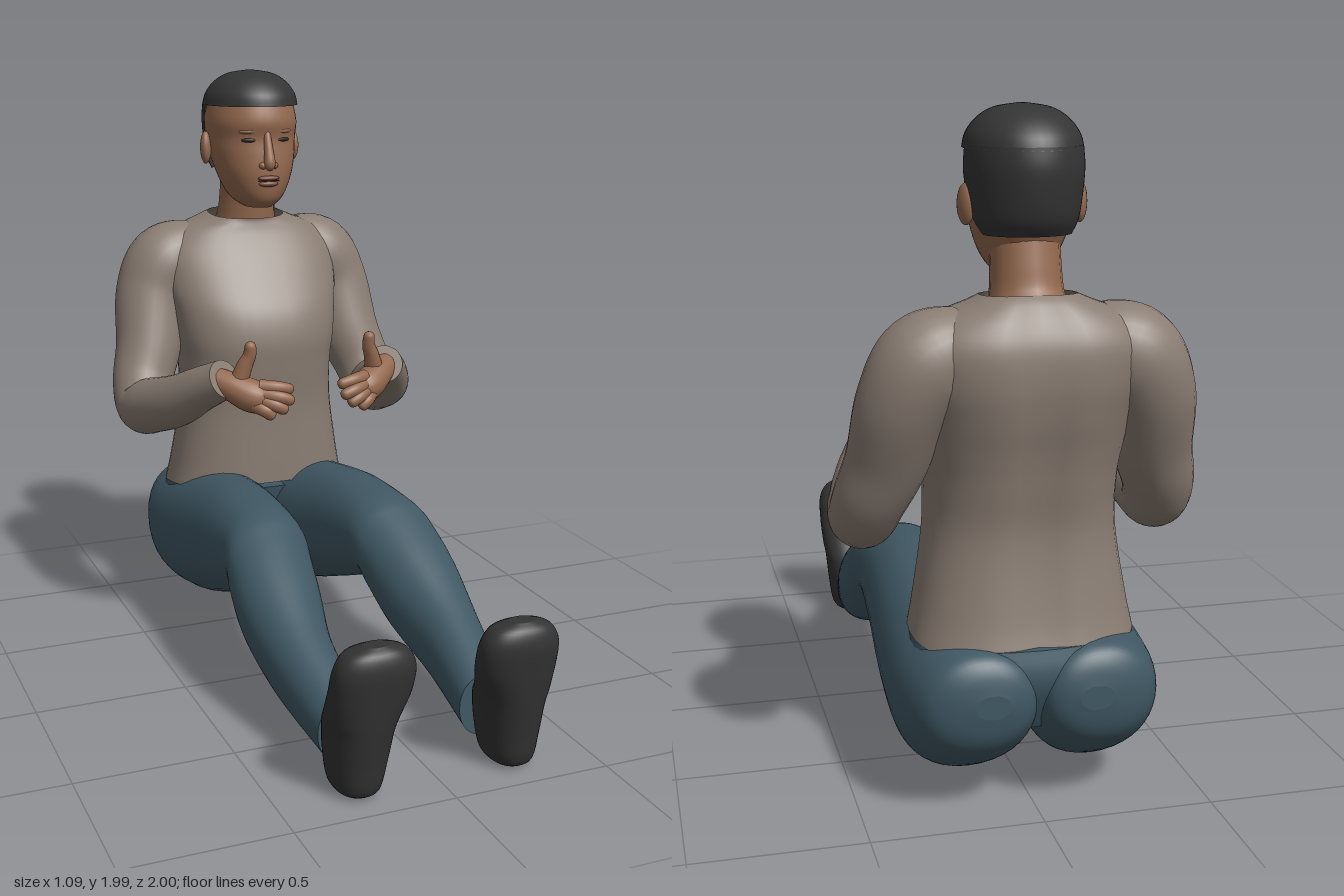
import * as THREE from 'three';

const mat = (name, color, side = THREE.FrontSide) => {
  const m = new THREE.MeshStandardMaterial({ color, side });
  m.name = name;
  return m;
};

// Catmull-Rom blend of table rows at t in 0..1
function sample(rows, t) {
  const f = t * (rows.length - 1), i = Math.min(Math.floor(f), rows.length - 2), u = f - i;
  const at = k => rows[Math.max(0, Math.min(rows.length - 1, k))];
  return rows[0].map((_, c) => {
    const [a, b, d, e] = [at(i - 1)[c], at(i)[c], at(i + 1)[c], at(i + 2)[c]];
    return b + 0.5 * u * (d - a + u * (2 * a - 5 * b + 4 * d - e + u * (3 * (b - d) + e - a)));
  });
}

// Skin a list of rings; flip reverses the faces, caps close the ends
function skin(name, rings, material, { flip = false, closed = true, caps = true } = {}) {
  const n = rings[0].length, pos = [], idx = [];
  const tri = (a, b, c) => (flip ? idx.push(a, c, b) : idx.push(a, b, c));
  rings.forEach(r => r.forEach(p => pos.push(p.x, p.y, p.z)));
  for (let i = 0; i < rings.length - 1; i++) {
    for (let j = 0; j < (closed ? n : n - 1); j++) {
      const k = (j + 1) % n, a = i * n + j, b = i * n + k;
      tri(a, b, b + n);
      tri(a, b + n, a + n);
    }
  }
  if (caps && closed) {
    [rings[0], rings[rings.length - 1]].forEach((r, end) => {
      const s = pos.length / 3, mid = new THREE.Vector3();
      r.forEach(p => { pos.push(p.x, p.y, p.z); mid.addScaledVector(p, 1 / n); });
      pos.push(mid.x, mid.y, mid.z);
      for (let j = 0; j < n; j++) {
        const k = (j + 1) % n;
        if (end) tri(s + j, s + k, s + n); else tri(s + k, s + j, s + n);
      }
    });
  }
  const g = new THREE.BufferGeometry();
  g.setAttribute('position', new THREE.Float32BufferAttribute(pos, 3));
  g.setIndex(idx);
  g.computeVertexNormals();
  const mesh = new THREE.Mesh(g, material);
  mesh.name = name;
  return mesh;
}

// Loft of rounded sections. Row: [height on axis, x min, x max, other min, other max]
function loft(name, axis, rows, material, { power = 2, arc = null, bend = null, caps = true } = {}) {
  const rings = [], steps = (rows.length - 1) * 5, n = 40;
  const pw = v => Math.sign(v) * Math.abs(v) ** (2 / power);
  for (let i = 0; i <= steps; i++) {
    const [h, x0, x1, w0, w1] = sample(rows, i / steps), ring = [];
    for (let j = 0; j < n; j++) {
      const th = arc ? arc[0] + (arc[1] - arc[0]) * j / (n - 1) : j / n * Math.PI * 2;
      const x = (x0 + x1) / 2 + (x1 - x0) / 2 * pw(Math.cos(th));
      const w = (w0 + w1) / 2 + (w1 - w0) / 2 * pw(Math.sin(th));
      const p = axis === 'y' ? new THREE.Vector3(x, h, w) : new THREE.Vector3(x, w, h);
      if (bend) bend(p);
      ring.push(p);
    }
    rings.push(ring);
  }
  return skin(name, rings, material, { flip: axis === 'y', closed: !arc, caps });
}

// Tapered round limb. Point: [x, y, z, radius]; round is the share of length rounded off at the tip
function limb(name, points, material, round = 0, n = 20) {
  const steps = (points.length - 1) * 8, rings = [];
  const centre = t => new THREE.Vector3(...sample(points, t).slice(0, 3));
  let side = new THREE.Vector3(0.3, 0.2, 1);
  for (let i = 0; i <= steps; i++) {
    const t = i / steps, c = centre(t);
    const dir = centre(Math.min(1, t + 0.01)).sub(centre(Math.max(0, t - 0.01))).normalize();
    side = side.clone().addScaledVector(dir, -side.dot(dir)).normalize();
    const up = dir.clone().cross(side);
    const e = round ? Math.max(0, (t - 1 + round) / round) : 0;
    const r = sample(points, t)[3] * Math.sqrt(Math.max(0.01, 1 - e * e));
    rings.push(Array.from({ length: n }, (_, j) => {
      const th = j / n * Math.PI * 2;
      return c.clone().addScaledVector(side, r * Math.cos(th)).addScaledVector(up, r * Math.sin(th));
    }));
  }
  return skin(name, rings, material);
}

function blob(name, size, at, material, tilt = 0) {
  const m = new THREE.Mesh(new THREE.SphereGeometry(1, 20, 14), material);
  m.name = name;
  m.scale.set(...size);
  m.position.set(...at);
  m.rotation.y = tilt;
  return m;
}

export function createModel() {
  const skinTone = mat('skin', 0x94694f), hairMat = mat('hair', 0x343434, THREE.DoubleSide);
  const wool = mat('sweater', 0x8a7d73, THREE.DoubleSide), denim = mat('trousers', 0x405864);
  const shoeMat = mat('shoe', 0x333333), lipMat = mat('lips', 0x7d5041), dark = mat('eye', 0x2e231e);
  const model = new THREE.Group();
  model.name = 'seatedPerson';

  // Sweater body with a groove along the spine and a tilted hem
  model.add(loft('sweaterBody', 'y', [
    [0.50, -0.33, 0.33, -0.955, -0.47], [0.60, -0.31, 0.31, -0.925, -0.47],
    [0.80, -0.28, 0.28, -0.90, -0.47], [0.95, -0.28, 0.28, -0.92, -0.455],
    [1.05, -0.295, 0.295, -0.94, -0.45], [1.15, -0.31, 0.31, -0.965, -0.475],
    [1.25, -0.33, 0.33, -0.98, -0.535], [1.35, -0.33, 0.33, -0.975, -0.595],
    [1.42, -0.27, 0.27, -0.945, -0.63], [1.46, -0.18, 0.18, -0.915, -0.64],
    [1.48, -0.135, 0.135, -0.89, -0.64],
  ], wool, {
    power: 2.4, caps: false,
    bend: p => {
      if (p.z < -0.8) p.z += 0.025 * Math.exp(-((p.x / 0.06) ** 2));
      if (p.y < 0.6) p.y += (p.z + 0.7) * (0.6 - p.y);
      if (p.y > 1.44) p.y += (p.y - 1.44) * (-p.z - 0.8) * 2;
    },
  }));

  // Trouser seat
  model.add(loft('trouserSeat', 'y', [
    [0.25, -0.25, 0.25, -0.90, -0.50], [0.40, -0.33, 0.33, -0.965, -0.51],
    [0.50, -0.325, 0.325, -0.95, -0.49],
  ], denim, { power: 2.3 }));

  // Neck and head
  model.add(limb('neck', [[0, 1.40, -0.78, 0.125], [0, 1.47, -0.755, 0.106],
    [0, 1.55, -0.74, 0.1], [0, 1.64, -0.72, 0.1]], skinTone));
  const head = new THREE.Group();
  head.name = 'head';
  model.add(head);
  head.add(loft('face', 'y', [
    [1.515, -0.045, 0.045, -0.70, -0.56], [1.54, -0.08, 0.08, -0.76, -0.53],
    [1.58, -0.108, 0.108, -0.80, -0.515], [1.64, -0.132, 0.132, -0.83, -0.508],
    [1.70, -0.147, 0.147, -0.86, -0.512], [1.76, -0.154, 0.154, -0.88, -0.518],
    [1.82, -0.158, 0.158, -0.89, -0.508], [1.90, -0.14, 0.14, -0.86, -0.53],
  ], skinTone, { power: 2.15 }));
  head.add(limb('nose', [[0, 1.78, -0.525, 0.012], [0, 1.72, -0.507, 0.016],
    [0, 1.675, -0.498, 0.02], [0, 1.66, -0.505, 0.014]], skinTone));
  head.add(blob('upperLip', [0.04, 0.009, 0.016], [0, 1.624, -0.512], lipMat));
  head.add(blob('lowerLip', [0.036, 0.011, 0.016], [0, 1.604, -0.513], lipMat));
  head.add(blob('mouthLine', [0.04, 0.0025, 0.017], [0, 1.615, -0.51], dark));
  for (const s of [-1, 1]) {
    head.add(blob('nostrilWing', [0.015, 0.013, 0.016], [0.02 * s, 1.668, -0.513], skinTone));
    head.add(blob('eye', [0.026, 0.007, 0.006], [0.066 * s, 1.755, -0.534], dark, 0.42 * s));
    head.add(blob('brow', [0.034, 0.009, 0.012], [0.066 * s, 1.785, -0.537], skinTone, 0.42 * s));
    head.add(blob('ear', [0.02, 0.058, 0.034], [0.163 * s, 1.72, -0.715], skinTone, 0.35 * s));
  }

  // Short hair: crown, and back reaching to the nape
  head.add(loft('hairCrown', 'y', [
    [1.87, -0.166, 0.166, -0.90, -0.502], [1.91, -0.156, 0.156, -0.882, -0.514],
    [1.95, -0.126, 0.126, -0.84, -0.553], [1.978, -0.08, 0.08, -0.785, -0.605],
    [1.99, -0.012, 0.012, -0.71, -0.68],
  ], hairMat));
  head.add(loft('hairBack', 'y', [
    [1.64, -0.125, 0.125, -0.85, -0.66], [1.68, -0.147, 0.147, -0.878, -0.59],
    [1.74, -0.161, 0.161, -0.895, -0.53], [1.82, -0.168, 0.168, -0.905, -0.505],
    [1.88, -0.164, 0.164, -0.898, -0.505],
  ], hairMat, { arc: [Math.PI, Math.PI * 2] }));

  // Paired limbs, built on the +x side and mirrored
  for (const s of [1, -1]) {
    const half = new THREE.Group();
    half.name = s > 0 ? 'leftLimbs' : 'rightLimbs';
    half.scale.x = s;
    model.add(half);

    half.add(limb('sleeve', [
      [0.18, 1.345, -0.79, 0.11], [0.29, 1.305, -0.80, 0.14], [0.355, 1.19, -0.785, 0.132],
      [0.39, 1.02, -0.725, 0.118], [0.43, 0.90, -0.675, 0.107], [0.443, 0.827, -0.61, 0.1],
      [0.43, 0.845, -0.52, 0.097], [0.39, 0.89, -0.38, 0.09], [0.34, 0.955, -0.26, 0.076],
      [0.29, 1.005, -0.165, 0.066]], wool, 0, 28));

    // Hand with curled fingers and raised thumb
    half.add(limb('palm', [[0.31, 1.0, -0.19, 0.042], [0.26, 0.975, -0.15, 0.05],
      [0.21, 0.95, -0.12, 0.056], [0.15, 0.935, -0.09, 0.046]], skinTone, 0.25));
    [[0.19, 0.985, -0.10, 0.08, 0.97, -0.075], [0.18, 0.96, -0.085, 0.085, 0.935, -0.055],
      [0.19, 0.94, -0.085, 0.11, 0.905, -0.05], [0.21, 0.925, -0.09, 0.155, 0.885, -0.06]]
      .forEach(([x, y, z, a, b, c]) => half.add(limb('finger', [[x, y, z, 0.024],
        [(x + a) / 2, (y + b) / 2 + 0.004, (z + c) / 2 + 0.012, 0.022], [a, b, c, 0.018]], skinTone, 0.2, 12)));
    half.add(limb('thumb', [[0.25, 0.985, -0.15, 0.034], [0.23, 1.05, -0.135, 0.027],
      [0.215, 1.09, -0.125, 0.022], [0.215, 1.135, -0.115, 0.018]], skinTone, 0.15, 12));

    // Trouser leg from buttock to ankle
    half.add(loft('trouserLeg', 'z', [
      [-1.00, 0.10, 0.20, 0.33, 0.40], [-0.985, 0.05, 0.27, 0.265, 0.46],
      [-0.95, 0.015, 0.33, 0.21, 0.50], [-0.87, -0.01, 0.37, 0.14, 0.515],
      [-0.74, -0.01, 0.39, 0.092, 0.53], [-0.50, 0, 0.385, 0.125, 0.57],
      [-0.25, 0.045, 0.37, 0.21, 0.602], [-0.05, 0.07, 0.362, 0.285, 0.60],
      [0.05, 0.08, 0.37, 0.305, 0.582], [0.12, 0.09, 0.38, 0.25, 0.55],
      [0.25, 0.11, 0.385, 0.165, 0.48], [0.46, 0.15, 0.36, 0.09, 0.36],
      [0.73, 0.145, 0.32, 0.035, 0.235],
    ], denim, { power: 2.15 }));

    // Upright shoe, toe up
    half.add(loft('shoe', 'y', [
      [0.005, 0.215, 0.285, 0.79, 0.89], [0.03, 0.18, 0.32, 0.735, 0.93],
      [0.12, 0.16, 0.335, 0.72, 0.95], [0.21, 0.147, 0.343, 0.728, 0.968],
      [0.26, 0.135, 0.35, 0.765, 0.977], [0.34, 0.11, 0.355, 0.82, 0.99],
      [0.42, 0.107, 0.352, 0.855, 1.0], [0.47, 0.135, 0.325, 0.875, 0.99],
      [0.492, 0.19, 0.27, 0.91, 0.965],
    ], shoeMat, { power: 2.3 }));
  }
  return model;
}
